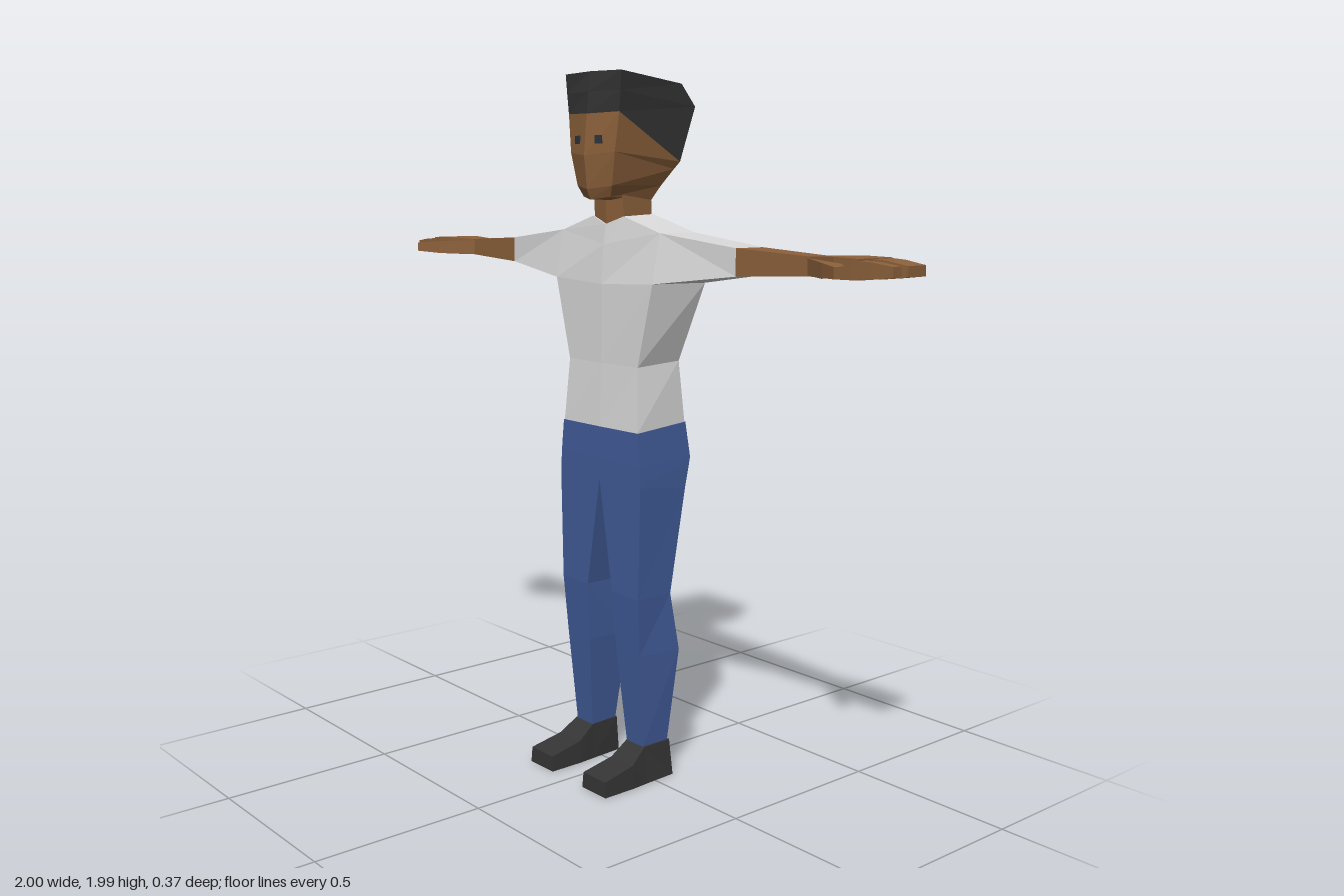
import * as THREE from 'three';

const mat = (name, color) => {
  const m = new THREE.MeshStandardMaterial({ color, flatShading: true });
  m.name = name;
  return m;
};

// Joins rings of points into a closed skin; rings run anticlockwise seen from the last ring.
function loft(rings, flip = false) {
  const n = rings[0].length, pos = [], idx = [];
  rings.forEach(r => r.forEach(([x, y, z]) => pos.push(flip ? -x : x, y, z)));
  const tri = (a, b, c) => (flip ? idx.push(a, c, b) : idx.push(a, b, c));
  for (let k = 0; k < rings.length - 1; k++) {
    for (let i = 0; i < n; i++) {
      const a = k * n + i, b = k * n + (i + 1) % n;
      tri(a, b, b + n);
      tri(a, b + n, a + n);
    }
  }
  const last = (rings.length - 1) * n;
  for (let i = 1; i < n - 1; i++) {
    tri(0, i + 1, i);
    tri(last, last + i, last + i + 1);
  }
  const g = new THREE.BufferGeometry();
  g.setAttribute('position', new THREE.Float32BufferAttribute(pos, 3));
  g.setIndex(idx);
  const flat = g.toNonIndexed();
  flat.computeVertexNormals();
  return flat;
}

// Symmetric ring: front centre, front left, back left, back centre, then mirrored.
const bodyRing = (fc, f, b, bc) => [
  [0, ...fc], f, b, [0, ...bc], [-b[0], b[1], b[2]], [-f[0], f[1], f[2]],
];
// Rectangular section across the arm at x.
const armRing = (x, y0, y1, z0, z1) => [[x, y1, z0], [x, y1, z1], [x, y0, z1], [x, y0, z0]];
// Section across the leg: front inner, front outer, back outer, back inner.
const legRing = (yf, yb, fi, fo, zf, bo, bi, zb) =>
  [[fi, yf, zf], [fo, yf, zf], [bo, yb, zb], [bi, yb, zb]];

export function createModel() {
  const root = new THREE.Group();
  root.name = 'person';
  const skin = mat('skin', 0x8c613b);
  const shirt = mat('shirt white', 0xd8d8d8);
  const denim = mat('trouser blue', 0x415b98);
  const hairMat = mat('hair black', 0x333333);
  const shoeMat = mat('shoe black', 0x353535);
  const eyeMat = mat('eye dark', 0x2c343c);

  const add = (name, geo, m, parent = root) => {
    const mesh = new THREE.Mesh(geo, m);
    mesh.name = name;
    parent.add(mesh);
    return mesh;
  };
  const pair = (name, rings, m) => {
    add('left' + name, loft(rings), m);
    add('right' + name, loft(rings, true), m);
  };

  // Shirt body
  const pitF = [0.21, 1.43, 0.055], pitB = [0.25, 1.43, -0.1];
  const topF = [0.21, 1.565, 0.03], topB = [0.22, 1.565, -0.088];
  add('shirtBody', loft([
    bodyRing([1.02, 0.067], [0.163, 1.02, 0.065], [0.16, 1.035, -0.11], [1.035, -0.112]),
    bodyRing([1.2, 0.06], [0.15, 1.2, 0.055], [0.162, 1.21, -0.085], [1.21, -0.085]),
    bodyRing([1.42, 0.06], pitF, pitB, [1.43, -0.095]),
    bodyRing([1.53, 0.052], topF, topB, [1.55, -0.09]),
    bodyRing([1.585, 0.045], [0.066, 1.607, 0.035], [0.066, 1.612, -0.072], [1.612, -0.075]),
  ]), shirt);

  // Sleeves and arms
  const cuff = armRing(0.48, 1.462, 1.534, -0.087, 0.01);
  const wrist = armRing(0.72, 1.474, 1.522, -0.07, -0.003);
  pair('Sleeve', [[topB, topF, pitF, pitB], cuff], shirt);
  pair('Forearm', [cuff, wrist], skin);

  // Hands
  pair('Palm', [wrist,
    armRing(0.82, 1.473, 1.526, -0.088, 0.022),
    armRing(0.9, 1.474, 1.524, -0.096, 0.025)], skin);
  pair('Fingers', [
    armRing(0.89, 1.475, 1.523, -0.096, -0.026),
    armRing(0.94, 1.477, 1.52, -0.096, -0.026),
    armRing(1, 1.484, 1.51, -0.096, -0.03)], skin);
  pair('Index', [
    armRing(0.88, 1.478, 1.52, -0.008, 0.026),
    armRing(0.94, 1.478, 1.518, -0.008, 0.026),
    armRing(1, 1.485, 1.51, -0.008, 0.022)], skin);
  pair('Thumb', [
    armRing(0.715, 1.476, 1.518, -0.05, -0.003),
    armRing(0.82, 1.476, 1.513, 0.0, 0.062),
    [[0.895, 1.508, 0.068], [0.89, 1.508, 0.098], [0.89, 1.482, 0.098], [0.895, 1.482, 0.068]],
  ], skin);

  // Trousers
  pair('TrouserLeg', [
    legRing(0.1, 0.1, 0.08, 0.15, 0.032, 0.155, 0.08, -0.055),
    legRing(0.38, 0.38, 0.06, 0.162, 0.056, 0.177, 0.05, -0.08),
    legRing(0.55, 0.55, 0.055, 0.17, 0.068, 0.172, 0.055, -0.05),
    legRing(0.87, 0.85, 0, 0.178, 0.068, 0.176, 0, -0.1),
    legRing(0.93, 0.935, 0, 0.174, 0.068, 0.172, 0, -0.122),
    legRing(1.02, 1.035, 0, 0.165, 0.067, 0.162, 0, -0.112),
  ], denim);

  // Shoes, lofted from heel to toe
  const shoeRing = (zb, zt, x0, x1, t0, t1, h) =>
    [[x0, 0, zb], [x1, 0, zb], [t1, h, zt], [t0, h, zt]];
  pair('Shoe', [
    shoeRing(-0.07, -0.06, 0.08, 0.165, 0.078, 0.16, 0.108),
    shoeRing(0.03, 0.032, 0.074, 0.17, 0.078, 0.157, 0.105),
    shoeRing(0.085, 0.085, 0.07, 0.174, 0.074, 0.168, 0.066),
    shoeRing(0.19, 0.188, 0.07, 0.174, 0.073, 0.171, 0.045),
  ], shoeMat);

  // Neck
  add('neck', loft([
    bodyRing([1.57, 0.04], [0.063, 1.57, 0.03], [0.063, 1.57, -0.07], [1.57, -0.072]),
    bodyRing([1.67, 0.045], [0.062, 1.67, 0.035], [0.062, 1.67, -0.068], [1.67, -0.07]),
  ]), skin);

  // Face with a centre ridge, up to the slanted hairline
  const hairline = bodyRing([1.882, 0.11], [0.109, 1.885, 0.086], [0.112, 1.755, -0.13], [1.755, -0.13]);
  add('head', loft([
    bodyRing([1.652, 0.098], [0.058, 1.66, 0.075], [0.062, 1.65, -0.068], [1.65, -0.07]),
    bodyRing([1.68, 0.11], [0.075, 1.69, 0.083], [0.078, 1.69, -0.09], [1.69, -0.09]),
    bodyRing([1.77, 0.12], [0.095, 1.78, 0.09], [0.1, 1.735, -0.118], [1.735, -0.118]),
    hairline,
  ]), skin);

  // Hair
  add('hair', loft([
    hairline,
    bodyRing([1.94, 0.104], [0.115, 1.94, 0.087], [0.114, 1.905, -0.183], [1.905, -0.183]),
    bodyRing([1.994, 0.096], [0.12, 1.992, 0.088], [0.114, 1.965, -0.132], [1.965, -0.132]),
  ]), hairMat);

  // Eyes
  for (const [name, s] of [['leftEye', 1], ['rightEye', -1]]) {
    const eye = add(name, new THREE.BoxGeometry(0.024, 0.022, 0.009), eyeMat);
    eye.position.set(s * 0.045, 1.813, 0.104);
    eye.rotation.y = s * 0.28;
  }
  return root;
}
